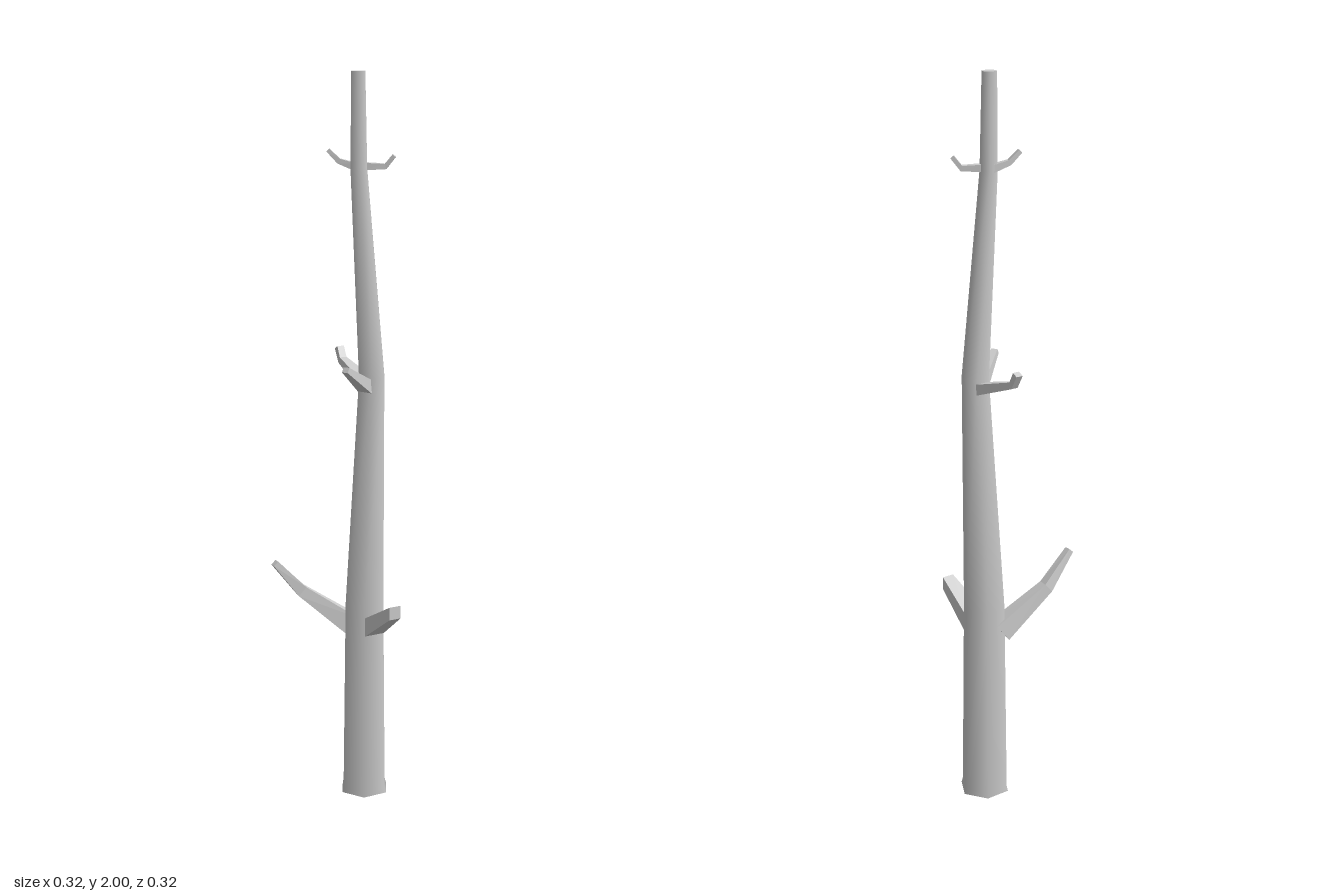
import * as THREE from 'three';

const bark = new THREE.MeshStandardMaterial({ color: 0xcccccc });
bark.name = 'pale grey bark';

// Hexagonal trunk: each ring is [y, centre x, centre z, radius], bottom to top
function makeTrunk() {
  const rings = [
    [0, 0.088, -0.006, 0.071],
    [0.015, 0.088, -0.006, 0.067],
    [0.56, 0.087, -0.006, 0.06],
    [1.2, 0.087, 0.028, 0.039],
    [1.75, 0.061, 0.001, 0.025],
    [2, 0.06, -0.002, 0.021],
  ];
  const n = rings.length - 1;
  const geo = new THREE.CylinderGeometry(1, 1, 1, 6, n, false, Math.PI / 2);
  const p = geo.attributes.position;
  for (let i = 0; i < p.count; i++) {
    const [y, cx, cz, r] = rings[Math.round((p.getY(i) + 0.5) * n)];
    p.setXYZ(i, cx + p.getX(i) * r, y, cz + p.getZ(i) * r);
  }
  const mesh = new THREE.Mesh(geo, bark);
  mesh.name = 'trunk';
  return mesh;
}

// Four-sided tapering branch through sections [x, y, z, width, height]
function makeBranch(name, sections, upright = false) {
  const n = sections.length - 1;
  const pts = sections.map(s => new THREE.Vector3(s[0], s[1], s[2]));
  const frames = pts.map((_, i) => {
    const d = pts[Math.min(i + 1, n)].clone().sub(pts[Math.max(i - 1, 0)]);
    if (upright) d.y = 0;
    d.normalize();
    const side = new THREE.Vector3(0, 1, 0).cross(d).normalize();
    return { side, up: d.clone().cross(side) };
  });
  const box = new THREE.BoxGeometry(1, 1, 1, 1, 1, n);
  const p = box.attributes.position;
  for (let i = 0; i < p.count; i++) {
    const k = Math.round((p.getZ(i) + 0.5) * n);
    const v = pts[k].clone()
      .addScaledVector(frames[k].side, p.getX(i) * sections[k][3])
      .addScaledVector(frames[k].up, p.getY(i) * sections[k][4]);
    p.setXYZ(i, v.x, v.y, v.z);
  }
  const geo = box.toNonIndexed();
  geo.computeVertexNormals();
  const mesh = new THREE.Mesh(geo, bark);
  mesh.name = name;
  return mesh;
}

export function createModel() {
  const tree = new THREE.Group();
  tree.name = 'bareTree';
  tree.add(
    makeTrunk(),
    // Lower pair
    makeBranch('lowerFrontStub', [
      [0.089, 0.482, 0.015, 0.066, 0.058],
      [0.089, 0.573, 0.157, 0.035, 0.036],
    ], true),
    makeBranch('lowerSideBranch', [
      [0.06, 0.488, -0.041, 0.05, 0.056],
      [-0.074, 0.595, -0.077, 0.029, 0.032],
      [-0.153, 0.685, -0.08, 0.018, 0.017],
    ]),
    // Middle pair
    makeBranch('middleBackBranch', [
      [0.088, 1.172, 0.01, 0.044, 0.03],
      [0.087, 1.217, -0.134, 0.021, 0.018],
      [0.087, 1.25, -0.152, 0.02, 0.017],
    ]),
    makeBranch('middleFrontBranch', [
      [0.068, 1.175, 0.037, 0.044, 0.034],
      [-0.025, 1.24, 0.087, 0.018, 0.015],
    ]),
    // Upper twigs
    makeBranch('upperRightTwig', [
      [0.056, 1.755, -0.008, 0.026, 0.02],
      [0.018, 1.77, -0.03, 0.017, 0.014],
      [-0.007, 1.798, -0.042, 0.014, 0.011],
    ]),
    makeBranch('upperLeftTwig', [
      [0.068, 1.757, 0.004, 0.026, 0.02],
      [0.121, 1.757, 0.037, 0.018, 0.014],
      [0.139, 1.785, 0.05, 0.015, 0.011],
    ]),
  );
  return tree;
}
